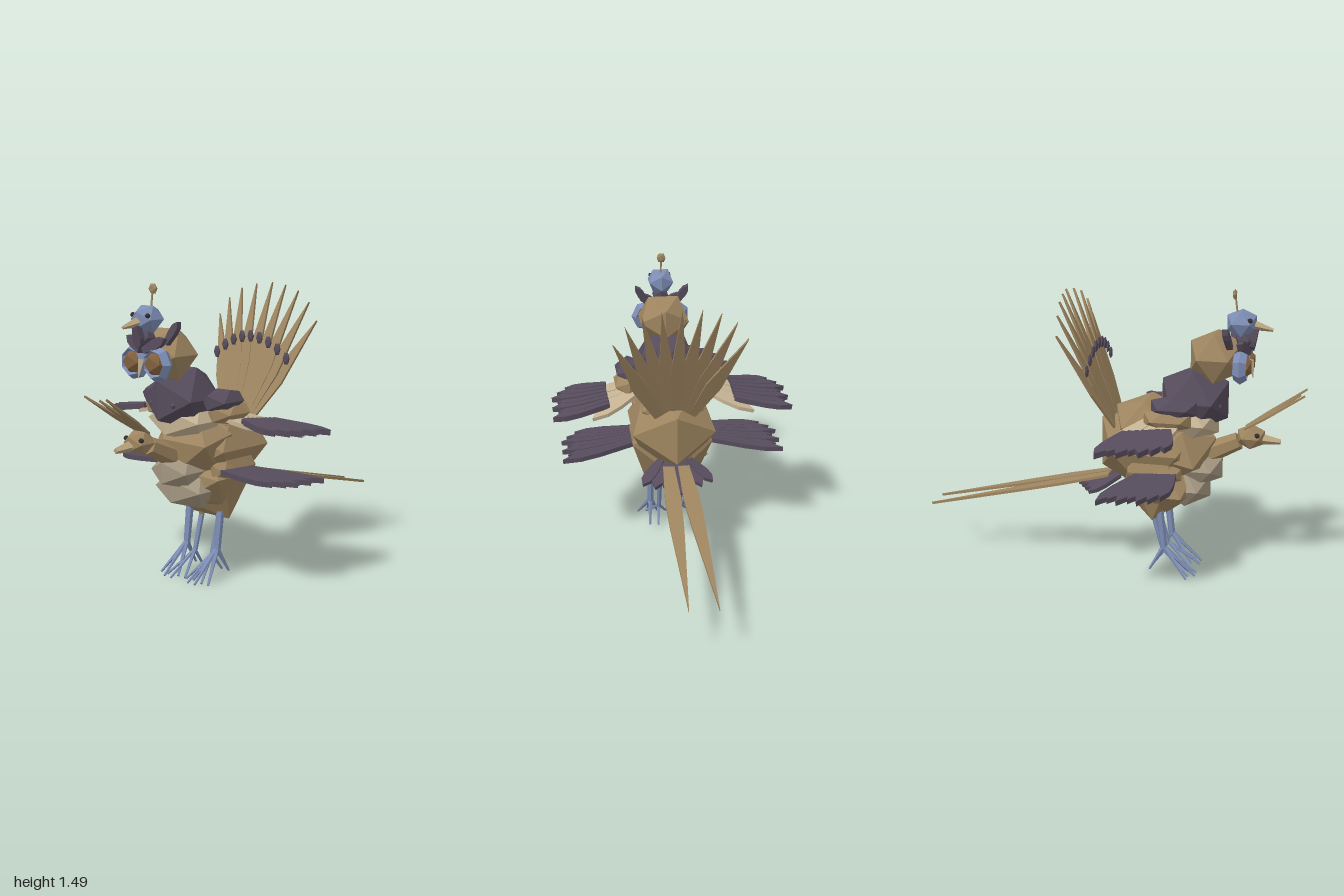
import * as THREE from 'three';

const mat = (name, color) => {
  const m = new THREE.MeshStandardMaterial({ color, flatShading: true });
  m.name = name;
  return m;
};

export function createModel() {
  const model = new THREE.Group();
  model.name = 'manyHeadedBird';
  const tan = mat('tan plumage', 0x9e8560);
  const purple = mat('purple plumage', 0x564c5c);
  const blue = mat('slate blue', 0x7d8db4);
  const cream = mat('cream down', 0xc4b292);
  const grey = mat('greyish belly', 0xa39680);
  const brown = mat('brown eye', 0x80603f);
  const beakMat = mat('beak', 0xb8a27e);
  const dark = mat('dark eye', 0x352c2c);

  const add = (name, geo, material) => {
    const m = new THREE.Mesh(geo, material);
    m.name = name;
    model.add(m);
    return m;
  };
  const V = (p) => new THREE.Vector3(...p);
  const flip = (p, s) => [p[0] * s, p[1], p[2]];

  // Faceted lump of plumage
  const lump = (name, material, p, r, rot = [0, 0, 0]) => {
    const m = add(name, new THREE.IcosahedronGeometry(1, 0), material);
    m.position.set(...p);
    m.scale.set(...r);
    m.rotation.set(...rot);
    return m;
  };

  // Tapered rod between two points
  const rod = (name, material, a, b, r0, r1, sides = 6) => {
    const d = V(b).sub(V(a));
    const m = add(name, new THREE.CylinderGeometry(r1, r0, d.length(), sides), material);
    m.position.copy(V(a)).addScaledVector(d, 0.5);
    m.quaternion.setFromUnitVectors(new THREE.Vector3(0, 1, 0), d.normalize());
    return m;
  };

  // Flat feather: outline holds [half width, fraction of length]
  const LEAF = [[0.3, 0], [0.5, 0.55], [0.42, 0.8], [0, 1]];
  const SPEAR = [[0.25, 0], [0.5, 0.4], [0, 1]];
  const blade = (name, material, a, b, width, thick, up = [0, 1, 0], outline = LEAF) => {
    const dir = V(b).sub(V(a));
    const len = dir.length();
    dir.normalize();
    const right = outline.map(([w, t]) => new THREE.Vector2(w * width, t * len));
    const left = outline.filter(([w]) => w > 0).reverse()
      .map(([w, t]) => new THREE.Vector2(-w * width, t * len));
    const geo = new THREE.ExtrudeGeometry(new THREE.Shape([...right, ...left]),
      { depth: thick, bevelEnabled: false });
    geo.translate(0, 0, -thick / 2);
    const side = new THREE.Vector3().crossVectors(dir, V(up)).normalize();
    const normal = new THREE.Vector3().crossVectors(side, dir);
    geo.applyMatrix4(new THREE.Matrix4().makeBasis(side, dir, normal).setPosition(...a));
    return add(name, geo, material);
  };

  // Body, belly and chest
  lump('body', tan, [0, 0.68, 0.22], [0.26, 0.25, 0.315]);
  lump('underBody', tan, [0, 0.585, 0.25], [0.255, 0.325, 0.21]);
  lump('back', tan, [0, 0.8, 0.2], [0.2, 0.155, 0.2]);
  lump('breast', tan, [0, 0.69, 0.38], [0.24, 0.17, 0.19], [0.2, 0, 0.25]);
  lump('lowerBreast', tan, [0, 0.5, 0.32], [0.25, 0.15, 0.17], [0, 0, 0.2]);
  lump('belly', grey, [0, 0.48, 0.41], [0.18, 0.11, 0.14]);
  lump('bellyTuft', grey, [0, 0.58, 0.47], [0.14, 0.1, 0.14]);
  lump('chest', cream, [0, 0.83, 0.42], [0.2, 0.12, 0.17]);

  // Main neck and wide-eyed head
  lump('neck', purple, [0, 0.94, 0.44], [0.19, 0.18, 0.2]);
  lump('neckRuff', purple, [0, 0.92, 0.45], [0.16, 0.16, 0.16], [0, Math.PI / 2, 0]);
  lump('head', tan, [0, 1.16, 0.54], [0.155, 0.145, 0.15]);
  for (const s of [1, -1]) {
    const ring = add('facialDisc', new THREE.TorusGeometry(0.066, 0.022, 4, 7), blue);
    ring.position.set(0.076 * s, 1.13, 0.675);
    ring.scale.z = 1.5;
    lump('eye', brown, [0.074 * s, 1.13, 0.69], [0.06, 0.06, 0.045]);
    blade('brow', purple, [0.01 * s, 1.19, 0.7], [0.125 * s, 1.25, 0.67], 0.05, 0.03, [0, 0, 1]);
    blade('earTuft', purple, [0.08 * s, 1.22, 0.62], [0.145 * s, 1.325, 0.6], 0.04, 0.03, [0, 0, 1]);
  }
  rod('beak', cream, [0, 1.15, 0.71], [0, 1.06, 0.73], 0.02, 0.002, 4);

  // Small crested head on top
  lump('crownNeck', purple, [0, 1.25, 0.68], [0.05, 0.06, 0.05]);
  lump('crownHead', blue, [0, 1.335, 0.665], [0.078, 0.075, 0.085]);
  blade('crownBib', purple, [0, 1.31, 0.735], [0, 1.2, 0.715], 0.055, 0.03, [0, 0, 1]);
  rod('crownBeak', beakMat, [0, 1.325, 0.73], [0, 1.305, 0.82], 0.024, 0.008, 4);
  rod('crestStalk', tan, [0, 1.39, 0.64], [0, 1.46, 0.63], 0.005, 0.005, 5);
  lump('crestTip', tan, [0, 1.475, 0.626], [0.028, 0.028, 0.012]);
  for (const s of [1, -1]) lump('crownEye', dark, [0.05 * s, 1.355, 0.71], [0.014, 0.014, 0.014]);

  // Small lower head with a forward three-feather crest
  rod('lowerNeck', tan, [0, 0.64, 0.48], [0, 0.73, 0.67], 0.06, 0.045);
  lump('lowerHead', tan, [0, 0.755, 0.73], [0.075, 0.065, 0.08]);
  rod('lowerBeak', beakMat, [0, 0.745, 0.79], [0, 0.737, 0.88], 0.028, 0.014, 4);
  for (const s of [1, -1]) lump('lowerEye', dark, [0.052 * s, 0.775, 0.765], [0.014, 0.014, 0.014]);
  for (const k of [-1, 0, 1])
    blade('lowerCrest', tan, [k * 0.025, 0.8, 0.7], [k * 0.075, k ? 1 : 0.985, k ? 0.995 : 0.97],
      0.06, 0.01, [0, 0.8, -0.6], SPEAR);

  // Wings: an upper pair with cream coverts and a lower pair
  for (const s of [1, -1]) {
    lump('shoulder', purple, [0.21 * s, 0.935, 0.37], [0.085, 0.065, 0.135]);
    lump('wingRoot', tan, [0.22 * s, 0.875, 0.34], [0.085, 0.065, 0.14]);
    lump('lowerWingRoot', tan, [0.17 * s, 0.58, 0.33], [0.06, 0.06, 0.09]);
    for (let i = 0; i < 4; i++)
      blade('covert', cream, flip([0.14, 0.87, 0.28 + i * 0.03], s),
        flip([0.43, 0.775 + i * 0.012, 0.08 + i * 0.085], s), 0.1, 0.02);
    for (let i = 0; i < 7; i++) {
      const t = i / 6;
      const tip = i === 6 ? 0.56 : 0.635 - (i % 2) * 0.03;
      blade('flightFeather', purple, flip([0.34, 0.825 + t * 0.025, 0.16 + t * 0.2], s),
        flip([tip, 0.79 + t * 0.03, 0.075 + t * 0.32], s), 0.075, 0.028);
      blade('lowerFlightFeather', purple, flip([0.17, 0.575 + t * 0.008, 0.22 + t * 0.14], s),
        flip([tip - 0.04, 0.545 + t * 0.02, 0.07 + t * 0.3], s), 0.075, 0.025);
    }
  }

  // Raised tail fan with eye spots
  for (let i = -4; i <= 4; i++) {
    const a = Math.abs(i);
    const tipY = [1.47, 1.46, 1.435, 1.38, 1.29][a];
    const tipX = [0, 0.1, 0.195, 0.275, 0.335][a] * Math.sign(i);
    blade('fanFeather', tan, [i * 0.022, 0.79, 0.04], [tipX, tipY, -0.24 + a * 0.012],
      0.085, 0.012, [0, 0.35, 0.94], SPEAR);
    lump('fanSpot', purple, [i * 0.06, 1.2 - a * a * 0.0062, -0.065], [0.022, 0.035, 0.01]);
  }

  // Long streamers and the short purple tail
  const STREAMER = [[0.35, 0], [0.5, 0.25], [0.42, 0.45], [0, 1]];
  for (const s of [1, -1])
    blade('tailStreamer', tan, [0.04 * s, 0.51, 0], [0.072 * s, 0.27, -1], 0.085, 0.014,
      [0, 1, 0], STREAMER);
  for (let i = -3; i <= 3; i++) {
    const a = Math.abs(i);
    blade('shortTailFeather', purple, [i * 0.025, 0.52, 0.06],
      [i * 0.062, 0.435 + a * 0.005, -0.18 + a * 0.035], 0.07, 0.02);
  }

  // Two pairs of legs with spread toes
  for (const s of [1, -1]) {
    for (const [x, top, ankle, r, z0, z1] of
      [[0.107, 0.35, 0.15, 0.021, 0.285, 0.31], [0.06, 0.34, 0.11, 0.015, 0.235, 0.3]]) {
      rod('leg', blue, [x * s, top, z0], [x * s, ankle, z1], r, r * 0.85);
      for (const [dx, z] of [[-0.055, 0.43], [0, 0.475], [0.06, 0.44], [0.01, 0.235]])
        rod('toe', blue, [x * s, ankle + 0.01, z1],
          [(x + dx) * s, z < 0.3 ? 0.03 : 0.01, z], r * 0.65, 0.006, 5);
    }
    rod('thigh', tan, [0.06 * s, 0.42, 0.25], [0.06 * s, 0.27, 0.25], 0.045, 0.005, 5);
  }
  return model;
}
